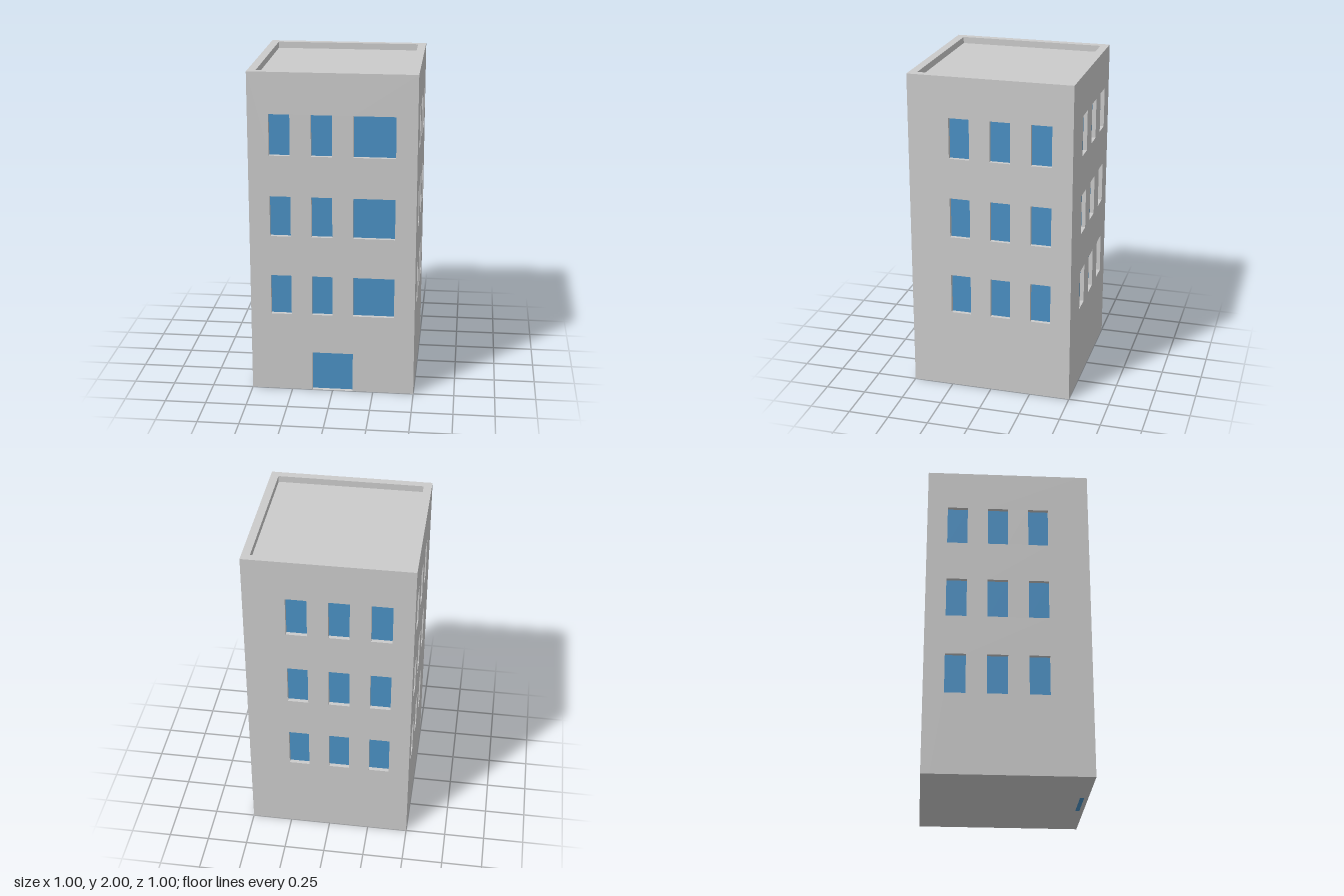
import * as THREE from 'three';

const H = 2, T = 0.05, RECESS = 0.025, ROOF_Y = 1.96;
const FLOORS = [0.5, 1, 1.5], WINDOW_H = 0.25;
const DOOR = { x0: -0.125, x1: 0.125, h: 0.25 };

const wallMat = new THREE.MeshStandardMaterial({ color: 0xcccccc, flatShading: true });
const slabMat = new THREE.MeshStandardMaterial({ color: 0xcccccc, side: THREE.DoubleSide });
const glassMat = new THREE.MeshStandardMaterial({ color: 0x4a90c4 });

function add(parent, name, geometry, material, x, y, z) {
  const mesh = new THREE.Mesh(geometry, material);
  mesh.name = name;
  mesh.position.set(x, y, z);
  parent.add(mesh);
  return mesh;
}

// Pane filling the inner part of an opening, leaving a recess in front of it
function pane(parent, name, x0, x1, y, h) {
  const depth = T - RECESS;
  add(parent, name, new THREE.BoxGeometry(x1 - x0, h, depth), glassMat,
    (x0 + x1) / 2, y + h / 2, 0.5 - T + depth / 2);
}

// One wall facing local +z; columns are [x0, x1] window spans
function buildWall(name, width, columns, hasDoor) {
  const wall = new THREE.Group();
  wall.name = name;
  const w = width / 2;
  const outline = [[-w, 0]];
  if (hasDoor) outline.push([DOOR.x0, 0], [DOOR.x0, DOOR.h], [DOOR.x1, DOOR.h], [DOOR.x1, 0]);
  outline.push([w, 0], [w, H], [-w, H]);
  const shape = new THREE.Shape(outline.map(([x, y]) => new THREE.Vector2(x, y)));

  for (const y of FLOORS) {
    for (const [x0, x1] of columns) {
      shape.holes.push(new THREE.Path([
        new THREE.Vector2(x0, y), new THREE.Vector2(x0, y + WINDOW_H),
        new THREE.Vector2(x1, y + WINDOW_H), new THREE.Vector2(x1, y),
      ]));
      pane(wall, 'window', x0, x1, y, WINDOW_H);
    }
  }
  add(wall, 'wallPanel', new THREE.ExtrudeGeometry(shape, { depth: T, bevelEnabled: false }),
    wallMat, 0, 0, 0.5 - T);

  if (hasDoor) {
    pane(wall, 'door', DOOR.x0, DOOR.x1, 0, DOOR.h);
    const sill = add(wall, 'threshold', new THREE.PlaneGeometry(DOOR.x1 - DOOR.x0, RECESS),
      slabMat, 0, 0, 0.5 - RECESS / 2);
    sill.rotation.x = -Math.PI / 2;
  }
  return wall;
}

export function createModel() {
  const model = new THREE.Group();
  model.name = 'building';

  // Solid core whose top is the sunken flat roof behind the parapet
  const inner = 1 - 2 * T;
  add(model, 'coreAndRoof', new THREE.BoxGeometry(inner, ROOF_Y, inner), wallMat, 0, ROOF_Y / 2, 0);

  // Four walls: name, turn about y, width, window columns, door
  const frontCols = [[-0.375, -0.25], [-0.125, 0], [0.125, 0.375]];
  const plainCols = [[-0.25, -0.125], [0, 0.125], [0.25, 0.375]];
  const mirrorCols = plainCols.map(([a, b]) => [-b, -a]);
  const walls = [
    ['frontWall', 0, 1, frontCols, true],
    ['backWall', Math.PI, 1, plainCols, false],
    ['leftWall', Math.PI / 2, inner, plainCols, false],
    ['rightWall', -Math.PI / 2, inner, mirrorCols, false],
  ];
  for (const [name, turn, width, columns, hasDoor] of walls) {
    const wall = buildWall(name, width, columns, hasDoor);
    wall.rotation.y = turn;
    model.add(wall);
  }
  return model;
}
